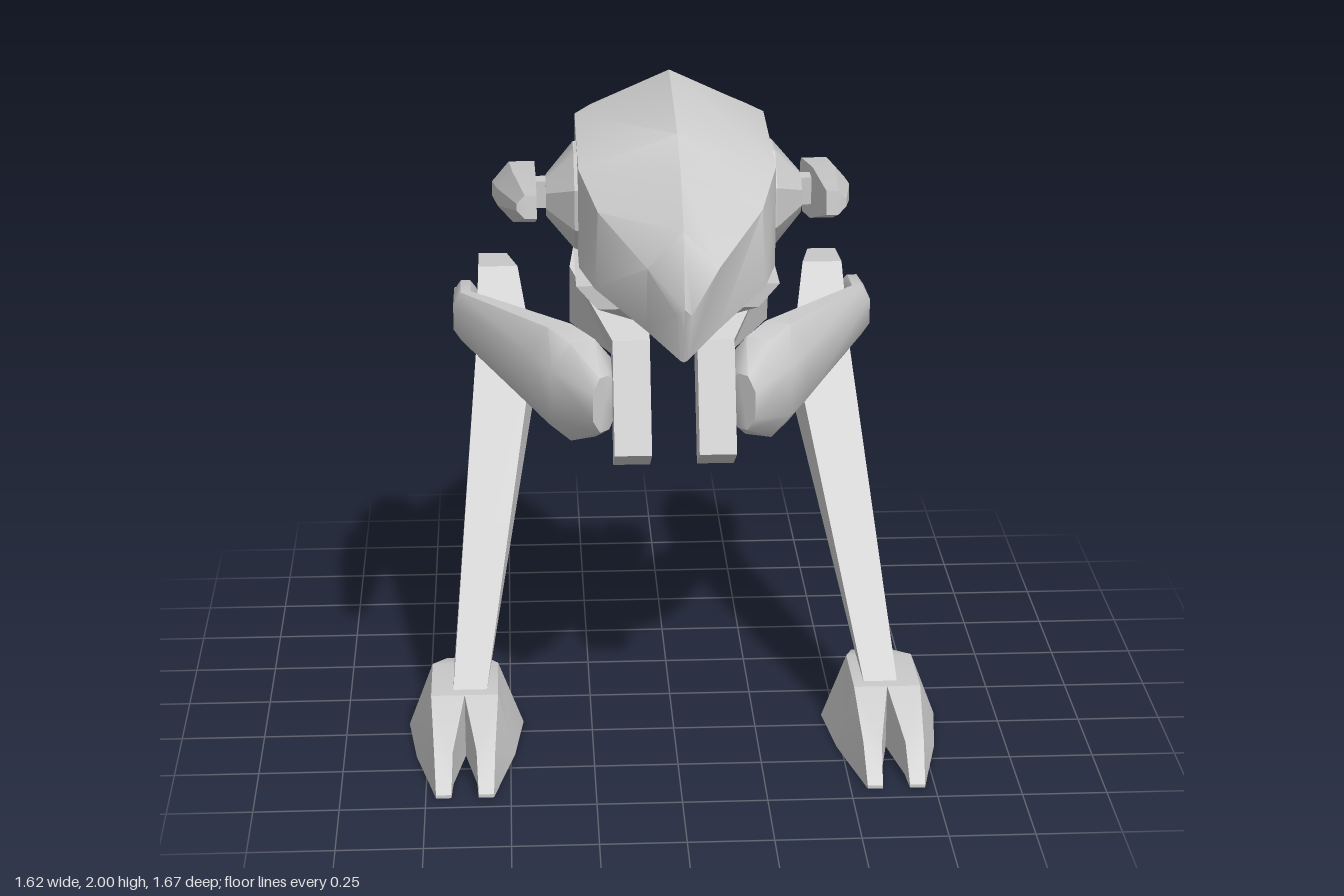
import * as THREE from 'three';
import { toCreasedNormals } from 'three/addons/utils/BufferGeometryUtils.js';

const material = new THREE.MeshStandardMaterial({ color: 0xcccccc });

// Skin a list of equal-length point rings, cap both ends, and face it outward.
function loft(name, rings, crease = 0.5) {
  const tris = [];
  const v = (p) => new THREE.Vector3(...p);
  const add = (a, b, c) => {
    const n = new THREE.Vector3().crossVectors(v(b).sub(v(a)), v(c).sub(v(a)));
    if (n.length() > 1e-7) tris.push([a, b, c]);
  };
  const n = rings[0].length;
  for (let i = 0; i < rings.length - 1; i++) {
    for (let j = 0; j < n; j++) {
      const k = (j + 1) % n, A = rings[i], B = rings[i + 1];
      add(A[j], B[j], B[k]);
      add(A[j], B[k], A[k]);
    }
  }
  const cap = (ring, flip) => {
    const c = [0, 1, 2].map((d) => ring.reduce((s, p) => s + p[d], 0) / n);
    ring.forEach((p, j) => {
      const q = ring[(j + 1) % n];
      flip ? add(c, q, p) : add(c, p, q);
    });
  };
  cap(rings[0], false);
  cap(rings[rings.length - 1], true);
  const volume = tris.reduce((s, [a, b, c]) => s + v(a).dot(v(b).cross(v(c))), 0);
  const flat = tris.flatMap(([a, b, c]) => (volume < 0 ? [a, c, b] : [a, b, c])).flat();
  const geo = new THREE.BufferGeometry();
  geo.setAttribute('position', new THREE.Float32BufferAttribute(flat, 3));
  const mesh = new THREE.Mesh(toCreasedNormals(geo, crease), material);
  mesh.name = name;
  return mesh;
}

function box(name, w, h, d, x, y, z) {
  const mesh = new THREE.Mesh(new THREE.BoxGeometry(w, h, d), material);
  mesh.position.set(x, y, z);
  mesh.name = name;
  return mesh;
}

// Four-cornered ring for a limb: upper and lower [z, y] points, inner and outer x.
const limbRing = (s, [zu, yu], [zl, yl], xi, xo) =>
  [[s * xi, yu, zu], [s * xo, yu, zu], [s * xo, yl, zl], [s * xi, yl, zl]];

// Helmet-like head with a pointed tail and a hooked beak
function makeHead() {
  // each section: top, shoulder, lower edge, underside
  const sections = [
    [[0, 1.84, -0.6], [0, 1.84, -0.6], [0, 1.84, -0.6], [0, 1.84, -0.6]],
    [[0, 1.93, -0.28], [0.16, 1.86, -0.28], [0.13, 1.79, -0.28], [0, 1.79, -0.28]],
    [[0, 1.97, -0.15], [0.23, 1.87, -0.15], [0.21, 1.55, -0.15], [0, 1.55, -0.15]],
    [[0, 2.0, -0.04], [0.28, 1.87, -0.04], [0.28, 1.54, -0.04], [0, 1.54, -0.04]],
    [[0, 1.93, 0.43], [0.28, 1.83, 0.43], [0.28, 1.54, 0.43], [0, 1.54, 0.43]],
    [[0, 1.87, 0.6], [0.23, 1.75, 0.59], [0.24, 1.53, 0.6], [0, 1.54, 0.6]],
    [[0, 1.74, 0.76], [0.1, 1.64, 0.77], [0.1, 1.44, 0.71], [0, 1.46, 0.68]],
    [[0, 1.54, 0.835], [0.02, 1.52, 0.825], [0.01, 1.375, 0.78], [0, 1.37, 0.78]],
  ];
  const rings = sections.map(([t, sh, lo, b]) => {
    const m = ([x, y, z]) => [-x, y, z];
    return [t, sh, lo, b, m(lo), m(sh)];
  });
  return loft('head', rings, 0.75);
}

// Side pod: hub, axle and swept fin
function makePod(s) {
  const pod = new THREE.Group();
  pod.name = 'sidePod';
  const disc = (x, r) => Array.from({ length: 8 }, (_, i) => {
    const a = (i + 0.5) * Math.PI / 4;
    return [s * x, 1.69 + 0.85 * r * Math.sin(a), 0.2 + r * Math.cos(a)];
  });
  pod.add(loft('hub', [disc(0.26, 0.19), disc(0.29, 0.18), disc(0.37, 0.07)]));
  pod.add(box('axle', 0.06, 0.08, 0.06, s * 0.385, 1.7, 0.2));
  // z of top, z of bottom, y top, y bottom, outer x
  const rings = [
    [0.67, 0.68, 1.825, 1.76, 0.455],
    [0.26, 0.2, 1.78, 1.61, 0.51],
    [-0.1, -0.04, 1.71, 1.56, 0.527],
    [-0.14, -0.135, 1.68, 1.63, 0.5],
  ].map(([zt, zb, yt, yb, xo]) => {
    const h = yt - yb, out = xo - 0.4, zm = (zt + zb) / 2;
    return [
      [s * 0.4, yt, zt], [s * (0.4 + out * 0.6), yt, zt], [s * xo, yt - h * 0.35, zm],
      [s * xo, yt - h * 0.65, zm], [s * (0.4 + out * 0.6), yb, zb], [s * 0.4, yb, zb],
    ];
  });
  pod.add(loft('fin', rings, 0.3));
  return pod;
}

function makeLeg(s) {
  const leg = new THREE.Group();
  leg.name = s > 0 ? 'leftLeg' : 'rightLeg';

  // Bent hip strap, wide at the back and slim in front
  leg.add(loft('hip', [
    limbRing(s, [-0.32, 1.42], [-0.25, 1.32], 0.07, 0.28),
    limbRing(s, [-0.28, 1.48], [-0.22, 1.28], 0.07, 0.28),
    limbRing(s, [-0.18, 1.5], [-0.18, 1.24], 0.07, 0.27),
    limbRing(s, [0.0, 1.41], [-0.08, 1.21], 0.07, 0.3),
    limbRing(s, [0.23, 1.25], [0.08, 1.16], 0.07, 0.18),
    limbRing(s, [0.37, 0.94], [0.23, 0.86], 0.07, 0.18),
  ], 0.3));

  // Rounded thigh: inner [x, z], outer [x, z], bottom y, top y
  const thigh = [
    [[0.17, 0.2], [0.24, 0.27], 0.97, 1.14],
    [[0.17, 0.04], [0.36, 0.12], 0.89, 1.2],
    [[0.24, -0.08], [0.42, 0.0], 0.9, 1.21],
    [[0.58, -0.5], [0.66, -0.47], 1.02, 1.18],
    [[0.585, -0.67], [0.66, -0.67], 1.03, 1.16],
    [[0.59, -0.75], [0.66, -0.75], 1.08, 1.12],
  ].map(([i, o, y0, y1]) => {
    const corners = [[0, 0.25], [0.3, 0], [0.7, 0], [1, 0.25], [1, 0.75], [0.7, 1], [0.3, 1], [0, 0.75]];
    return corners.map(([u, w]) => [
      s * (i[0] + (o[0] - i[0]) * u), y0 + (y1 - y0) * w, i[1] + (o[1] - i[1]) * u,
    ]);
  });
  leg.add(loft('thigh', thigh, 0.9));

  // Shin with the backward knee
  leg.add(loft('shin', [
    limbRing(s, [-0.8, 1.21], [-0.835, 1.04], 0.49, 0.58),
    limbRing(s, [-0.59, 1.23], [-0.66, 0.95], 0.455, 0.58),
    limbRing(s, [-0.4, 1.01], [-0.44, 0.84], 0.41, 0.59),
    limbRing(s, [0.38, 0.19], [0.18, 0.18], 0.57, 0.67),
  ], 0.2));

  // Foot with two toes
  const foot = new THREE.Group();
  foot.name = 'foot';
  const cx = 0.635;
  // z, y top, then bottom and top x spans
  const ring = ([z, y, b0, b1, t0, t1, zt = z]) => [
    [s * (cx + b0), 0, z], [s * (cx + b1), 0, z],
    [s * (cx + t1), y, zt], [s * (cx + t0), y, zt],
  ];
  foot.add(loft('sole', [
    [-0.16, 0.01, -0.055, 0.055, -0.05, 0.05],
    [-0.04, 0.12, -0.105, 0.105, -0.06, 0.06],
    [0.18, 0.2, -0.175, 0.175, -0.1, 0.1],
    [0.41, 0.2, -0.148, 0.148, -0.1, 0.1],
  ].map(ring), 0.6));
  for (const t of [-1, 1]) {
    foot.add(loft('toe', [
      [0.41, 0.2, 0, t * 0.148, 0, t * 0.1],
      [0.6, 0.105, t * 0.035, t * 0.105, t * 0.035, t * 0.09],
      [0.69, 0.01, t * 0.04, t * 0.085, t * 0.04, t * 0.085],
    ].map(ring), 0.4));
  }
  leg.add(foot);
  return leg;
}

export function createModel() {
  const model = new THREE.Group();
  model.name = 'walker';
  model.add(makeHead());

  // Neck, and the tapering pelvis below it
  model.add(box('neck', 0.22, 0.06, 0.22, 0, 1.52, 0.2));
  const level = (y, w, z0, z1) => [[-w, y, z0], [w, y, z0], [w, y, z1], [-w, y, z1]];
  model.add(loft('pelvis', [
    level(1.5, 0.29, 0.05, 0.48),
    level(1.43, 0.23, 0.05, 0.48),
    level(1.27, 0.04, 0.0, 0.17),
  ], 0.2));
  model.add(loft('pelvisBridge', [
    level(1.47, 0.09, -0.22, 0.2),
    level(1.36, 0.08, -0.22, 0.2),
    level(1.27, 0.04, -0.1, 0.15),
  ], 0.2));

  for (const s of [-1, 1]) model.add(makePod(s), makeLeg(s));
  return model;
}
